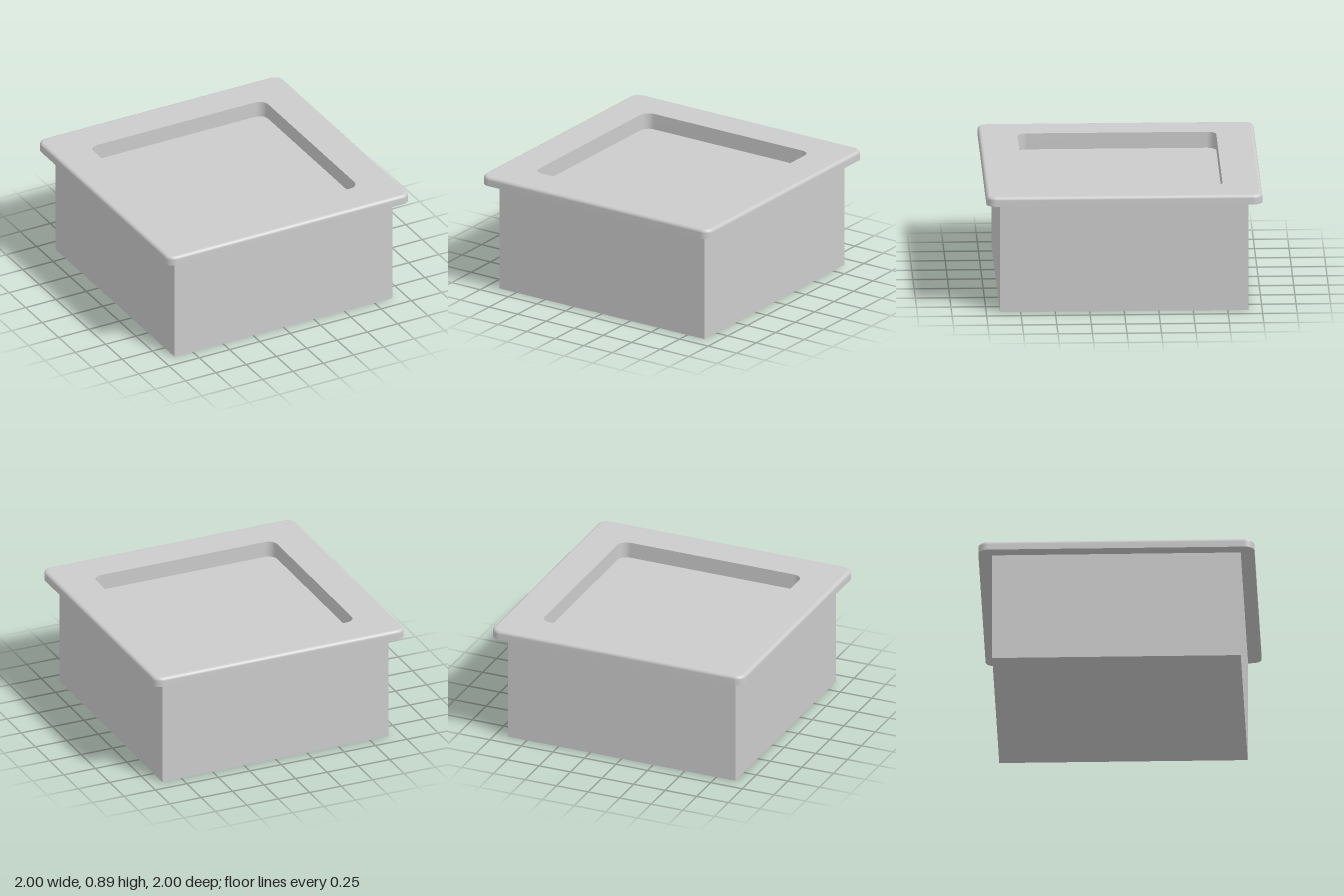
import * as THREE from 'three';
import { mergeGeometries } from 'three/addons/utils/BufferGeometryUtils.js';

const BODY = 0.9, LIP = 1, RECESS = 0.72;      // half widths
const LIP_BASE = 0.82, TOP = 0.89, FLOOR = 0.77; // heights
const CORNER = 0.07, FILLET = 0.025, STEPS = 8;

const material = new THREE.MeshStandardMaterial({ color: 0xcccccc });

// Points of a rounded square, counter-clockwise seen from above
function roundedSquare(half, radius) {
  const points = [];
  for (let corner = 0; corner < 4; corner++) {
    const mid = Math.PI / 4 + corner * Math.PI / 2;
    const reach = (half - radius) * Math.SQRT2;
    for (let s = 0; s <= STEPS; s++) {
      const a = corner * Math.PI / 2 + (s / STEPS) * Math.PI / 2;
      points.push(new THREE.Vector2(
        Math.cos(mid) * reach + Math.cos(a) * radius,
        Math.sin(mid) * reach + Math.sin(a) * radius));
    }
  }
  return points;
}

// Smooth strip through rounded squares given as [half, radius, y]
function loft(sections) {
  const position = [], index = [];
  const n = 4 * (STEPS + 1);
  sections.forEach(([half, radius, y], i) => {
    for (const p of roundedSquare(half, radius)) position.push(p.x, y, -p.y);
    if (i === 0) return;
    for (let j = 0; j < n; j++) {
      const k = (j + 1) % n, a = (i - 1) * n, b = i * n;
      index.push(a + j, a + k, b + k, a + j, b + k, b + j);
    }
  });
  const geometry = new THREE.BufferGeometry();
  geometry.setAttribute('position', new THREE.Float32BufferAttribute(position, 3));
  geometry.setIndex(index);
  geometry.computeVertexNormals();
  return geometry;
}

export function createModel() {
  const model = new THREE.Group();
  const add = (name, geometry) => {
    const mesh = new THREE.Mesh(geometry, material);
    mesh.name = name;
    model.add(mesh);
    return mesh;
  };

  // Square body, its top face left out because the lip covers it
  const box = new THREE.BoxGeometry(BODY * 2, LIP_BASE, BODY * 2);
  const faces = Array.from(box.index.array);
  faces.splice(12, 6);
  box.setIndex(faces);
  box.clearGroups();
  box.translate(0, LIP_BASE / 2, 0);
  add('body', box);

  // Overhanging lip: underside, side with rounded upper edge, flat top
  const side = [[LIP, CORNER, LIP_BASE]];
  for (let s = 0; s <= 6; s++) {
    const a = (s / 6) * Math.PI / 2;
    const inset = FILLET * (1 - Math.cos(a));
    side.push([LIP - inset, CORNER - inset, TOP - FILLET * (1 - Math.sin(a))]);
  }
  add('lip', mergeGeometries([
    loft([[BODY - 0.02, CORNER, LIP_BASE], [LIP, CORNER, LIP_BASE]]),
    loft(side),
    loft([[LIP - FILLET, CORNER - FILLET, TOP], [RECESS, CORNER, TOP]]),
  ]));

  // Sunken panel in the top
  add('recessWall', loft([[RECESS, CORNER, TOP], [RECESS, CORNER, FLOOR]]));
  const floor = new THREE.ShapeGeometry(new THREE.Shape(roundedSquare(RECESS, CORNER)));
  floor.rotateX(-Math.PI / 2);
  floor.translate(0, FLOOR, 0);
  add('recessFloor', floor);

  return model;
}
